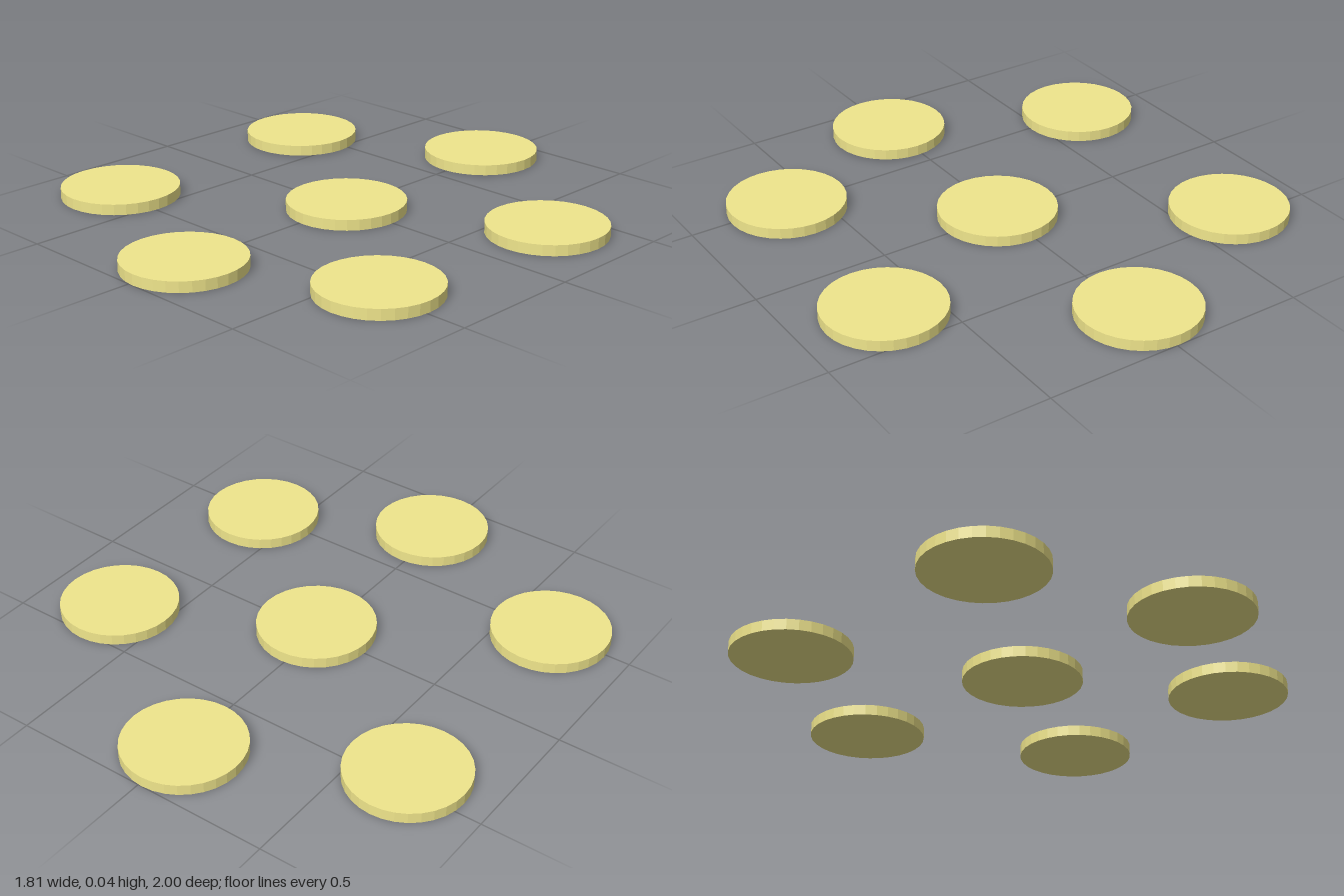
import * as THREE from 'three';

const RADIUS = 0.22;
const HEIGHT = 0.04;

// Disc centres as [x, z]
const CENTRES = [
  [0.018, 0.01],
  [-0.013, -0.78],
  [0.685, -0.31],
  [0.627, 0.485],
  [0.018, 0.78],
  [-0.687, 0.485],
  [-0.687, -0.45],
];

export function createModel() {
  const group = new THREE.Group();
  group.name = 'discs';
  const material = new THREE.MeshStandardMaterial({ color: 0xf0e68c, flatShading: true });
  const geometry = new THREE.CylinderGeometry(RADIUS, RADIUS, HEIGHT, 32);

  // One central disc and a loose ring of six around it
  CENTRES.forEach(([x, z], i) => {
    const disc = new THREE.Mesh(geometry, material);
    disc.name = i === 0 ? 'centreDisc' : `outerDisc${i}`;
    disc.position.set(x, HEIGHT / 2, z);
    group.add(disc);
  });
  return group;
}
